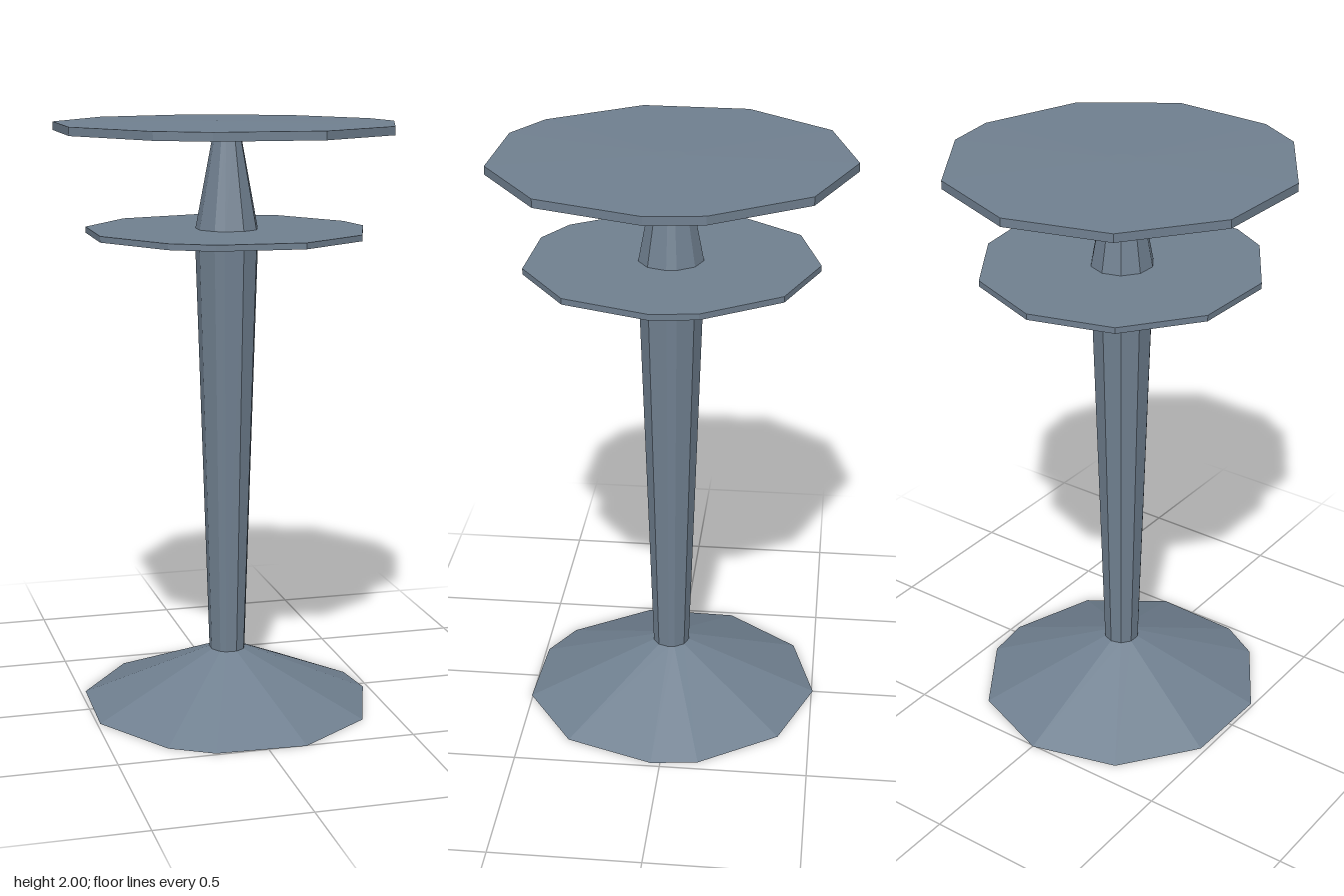
import * as THREE from 'three';

// Irregular eleven-sided outline (x, z) shared by every part
const OUTLINE = [
  [0, -0.585], [0.335, -0.455], [0.537, -0.15], [0.56, 0.035], [0.44, 0.38], [0.15, 0.58],
  [-0.2, 0.565], [-0.363, 0.472], [-0.564, 0.163], [-0.555, -0.203], [-0.338, -0.49],
];
// Point the outline shrinks towards
const AXIS = [-0.012, 0.012];

// Outline scaled by s at height y
function ring(y, s) {
  return OUTLINE.map(([x, z]) => [AXIS[0] + s * (x - AXIS[0]), y, AXIS[1] + s * (z - AXIS[1])]);
}

// Faceted solid through [height, scale] sections from bottom to top, with closed ends
function loft(sections) {
  const rings = sections.map(([y, s]) => ring(y, s));
  const n = OUTLINE.length;
  const first = rings[0], last = rings[rings.length - 1];
  const low = [AXIS[0], first[0][1], AXIS[1]];
  const high = [AXIS[0], last[0][1], AXIS[1]];
  const pos = [];
  const tri = (a, b, c) => pos.push(...a, ...b, ...c);
  for (let i = 0; i < n; i++) {
    const j = (i + 1) % n;
    tri(low, first[i], first[j]);
    tri(high, last[j], last[i]);
    for (let k = 0; k < rings.length - 1; k++) {
      const a = rings[k], b = rings[k + 1];
      tri(a[j], a[i], b[i]);
      tri(a[j], b[i], b[j]);
    }
  }
  const geometry = new THREE.BufferGeometry();
  geometry.setAttribute('position', new THREE.Float32BufferAttribute(pos, 3));
  geometry.computeVertexNormals();
  return geometry;
}

export function createModel() {
  const group = new THREE.Group();
  group.name = 'pedestalTable';
  const slate = new THREE.MeshStandardMaterial({ color: 0x708090 });
  slate.name = 'slateGrey';

  const parts = {
    base: [[0, 0.866], [0.19, 0.107]],
    column: [[0.19, 0.107], [1.615, 0.185]],
    // thin discs with slightly sloping undersides
    lowerShelf: [[1.615, 0.185], [1.628, 0.82], [1.648, 0.82]],
    neck: [[1.64, 0.185], [1.962, 0.08]],
    tableTop: [[1.962, 0.08], [1.968, 1], [1.996, 1], [2, 0.08]],
  };
  for (const [name, sections] of Object.entries(parts)) {
    const mesh = new THREE.Mesh(loft(sections), slate);
    mesh.name = name;
    group.add(mesh);
  }
  return group;
}
